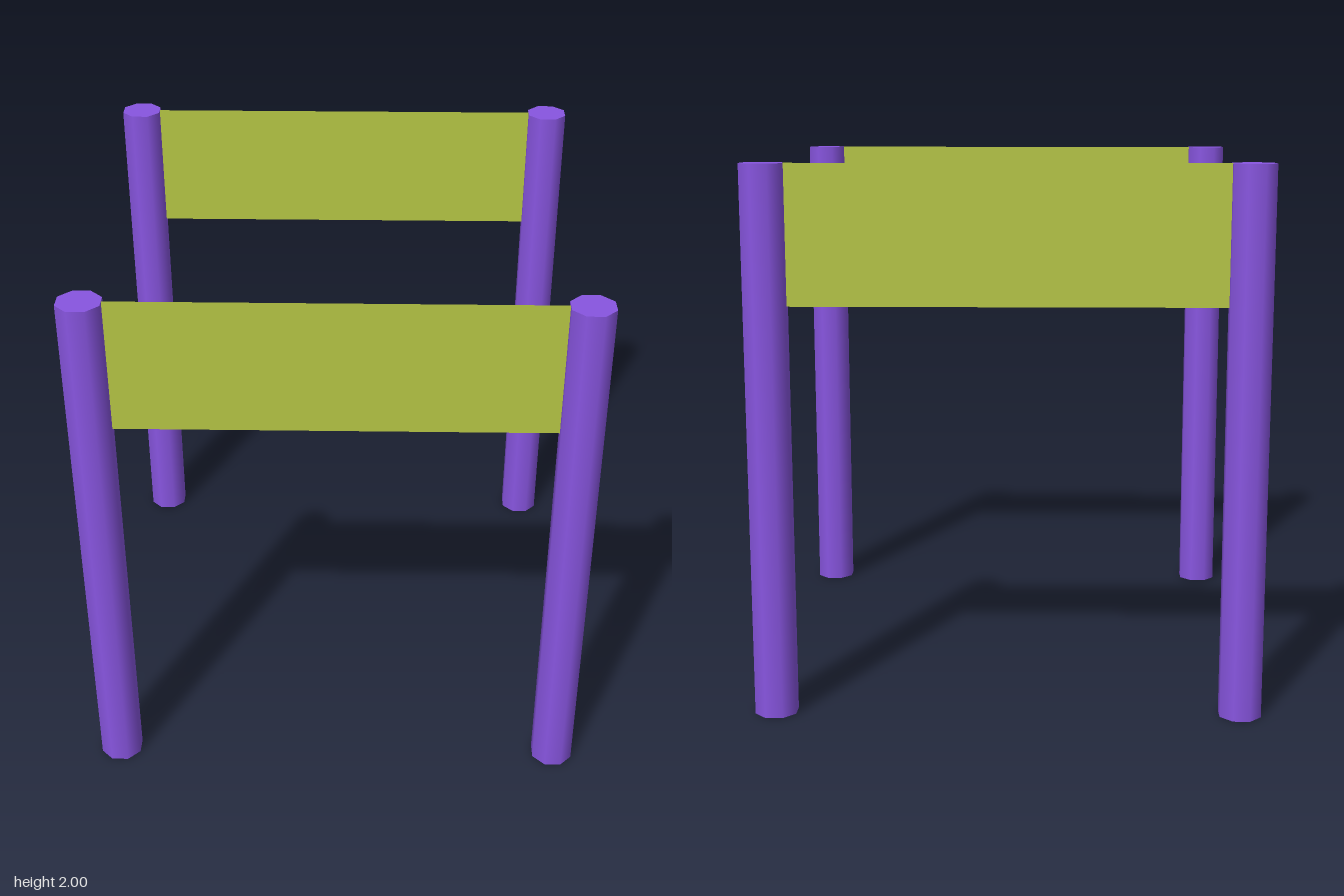
import * as THREE from 'three';

export function createModel() {
  const model = new THREE.Group();
  const postMaterial = new THREE.MeshStandardMaterial({ color: 0x8855e0 });
  const panelMaterial = new THREE.MeshStandardMaterial({ color: 0xb5c544, side: THREE.DoubleSide });

  const offset = 0.85; // post centres in x and z
  const apothem = 0.075;
  const height = 2;

  // Octagonal post with flat sides facing the axes
  const postGeometry = new THREE.CylinderGeometry(
    apothem / Math.cos(Math.PI / 8), apothem / Math.cos(Math.PI / 8), height, 8);
  postGeometry.rotateY(Math.PI / 8);

  // Thin sheet spanning between two posts
  const panelGeometry = new THREE.PlaneGeometry(2 * (offset - apothem), 0.5);

  for (const [end, sz] of [['front', 1], ['back', -1]]) {
    for (const [side, sx] of [['Left', 1], ['Right', -1]]) {
      const post = new THREE.Mesh(postGeometry, postMaterial);
      post.name = `${end}${side}Post`;
      post.position.set(sx * offset, height / 2, sz * offset);
      model.add(post);
    }
    const panel = new THREE.Mesh(panelGeometry, panelMaterial);
    panel.name = `${end}Panel`;
    panel.position.set(0, 1.75, sz * offset);
    model.add(panel);
  }
  return model;
}
